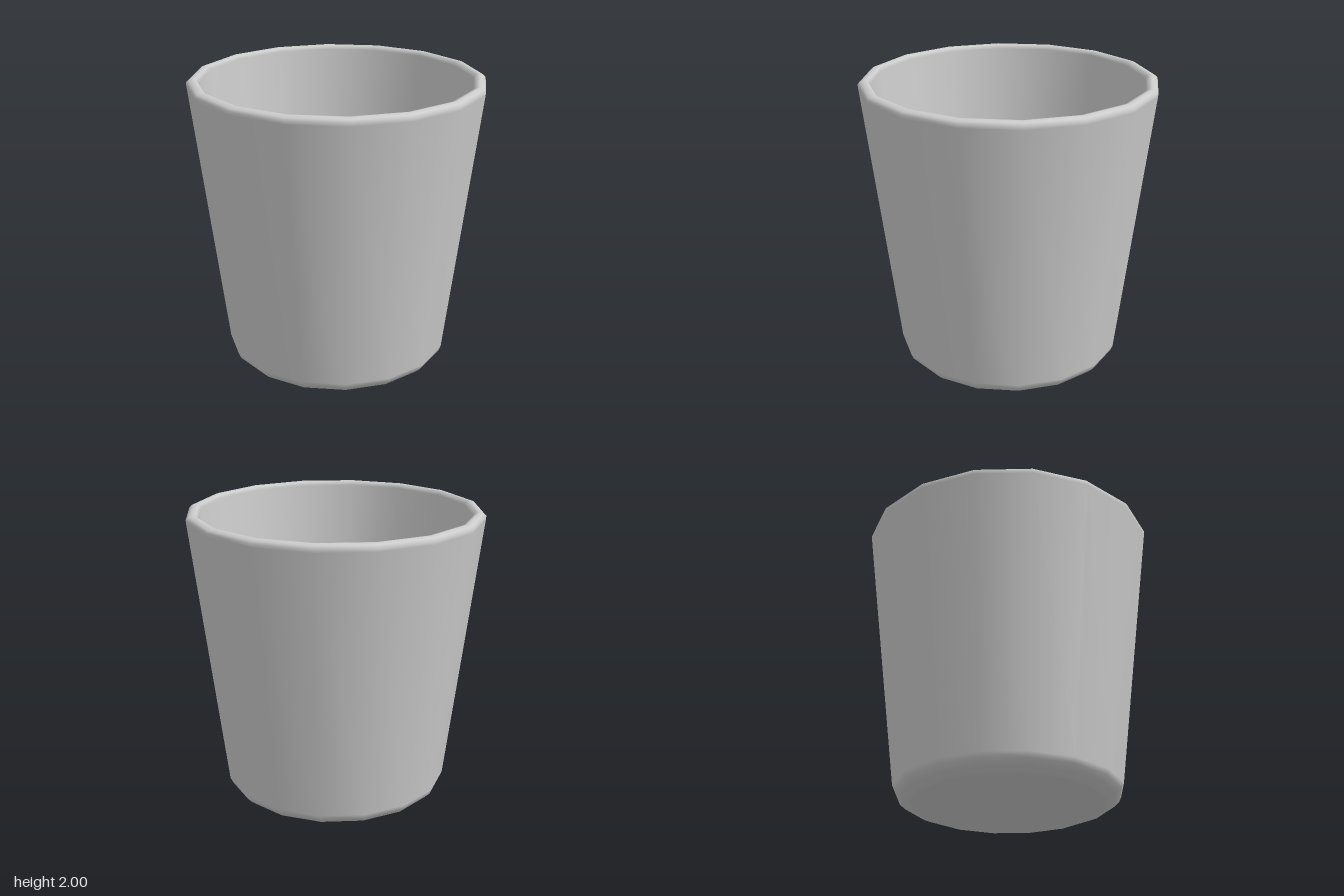
import * as THREE from 'three';

const SIDES = 16;

export function createModel() {
  const group = new THREE.Group();
  const material = new THREE.MeshStandardMaterial({ color: 0xcccccc });

  // Turn a profile of [radius, height] points around the upright axis
  const turn = (name, profile) => {
    const points = profile.map(([r, y]) => new THREE.Vector2(r, y));
    const mesh = new THREE.Mesh(new THREE.LatheGeometry(points, SIDES), material);
    mesh.name = name;
    group.add(mesh);
  };

  // Flat underside
  turn('base', [[0, 0], [0.65, 0]]);

  // Rounded foot, tapered outer wall, rounded rim and inner wall
  turn('cupWall', [
    [0.65, 0], [0.72, 0.03], [0.755, 0.065], [0.77, 0.1],
    [0.998, 1.95], [1, 1.975], [0.985, 1.99], [0.96, 2],
    [0.935, 1.995], [0.92, 1.97],
    [0.74, 0.3],
  ]);

  // Flat floor inside the cup
  turn('innerFloor', [[0.74, 0.3], [0, 0.3]]);

  return group;
}
